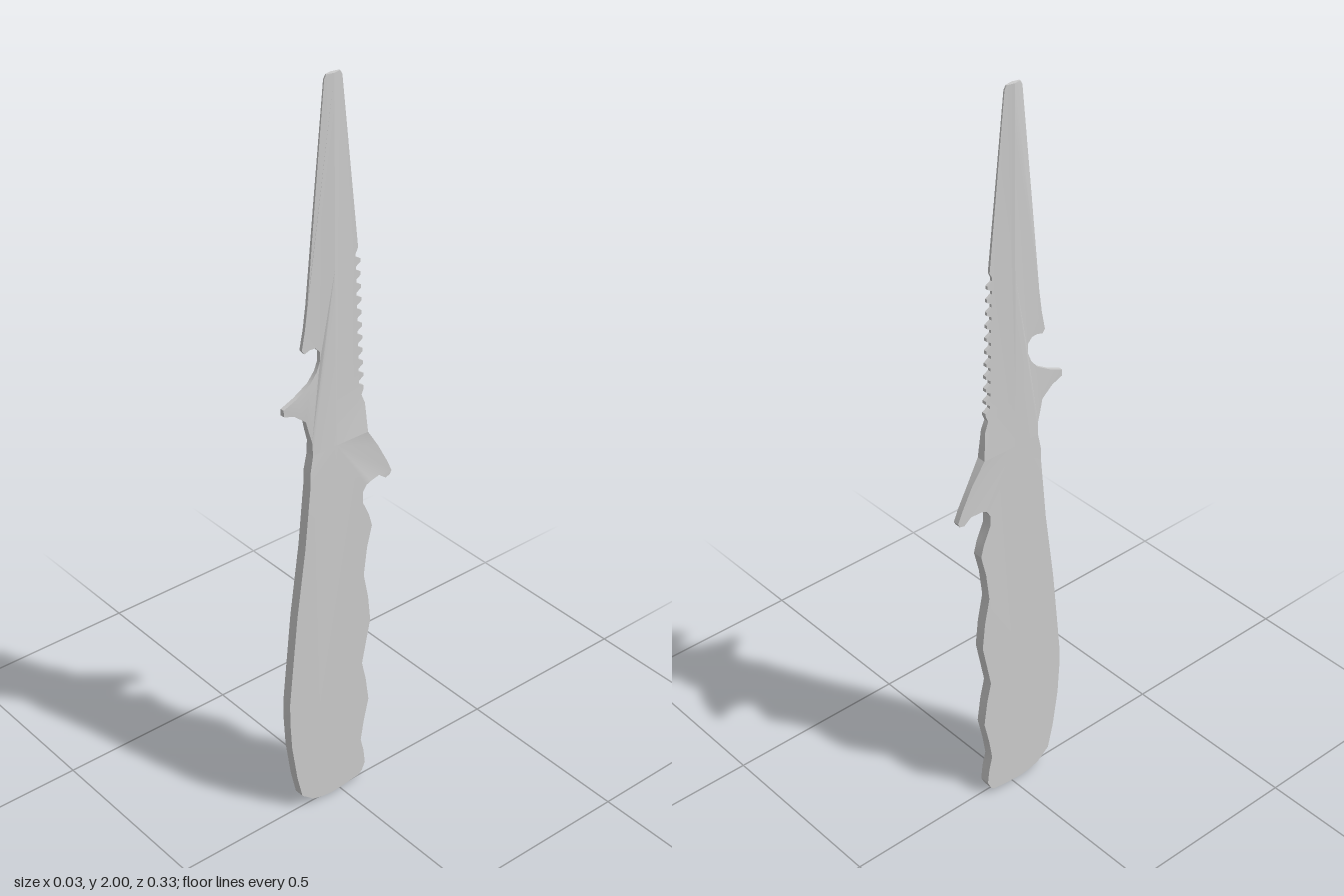
import * as THREE from 'three';
import { toCreasedNormals } from 'three/addons/utils/BufferGeometryUtils.js';

const MID = 0.012;    // z of the blade's ridge line
const JOINT = 1.065;  // height where handle meets blade

// Linear interpolation through [position, value] pairs
function ramp(t, stops) {
  for (let i = 1; i < stops.length; i++) {
    const [a, va] = stops[i - 1], [b, vb] = stops[i];
    if (t <= b) return THREE.MathUtils.mapLinear(Math.max(t, a), a, b, va, vb);
  }
  return stops[stops.length - 1][1];
}

// Middle of the thickness, and half the thickness, at a point of the outline
const isGuard = (z, y) => z < -0.11 && y > 0.85;
const centre = (z, y) => isGuard(z, y) ? -0.004 : ramp(y, [[0, -0.005], [0.8, -0.003], [1, 0], [1.15, -0.004], [2, -0.004]]);
function halfThickness(z, y) {
  if (isGuard(z, y)) return 0.008;
  const ridge = ramp(y, [[0, 0.0135], [1, 0.0135], [1.15, 0.01], [2, 0.006]]);
  const thin = ramp(y, [[JOINT, 1], [1.2, 0.6], [1.5, 0.4], [2, 0.3]]);
  return Math.abs(z - MID) < 1e-5 ? ridge : ridge * thin;
}

// Slab from a (z, y) outline, shaped in thickness, without walls at hidden seams
function slab(name, outline, material) {
  const shape = new THREE.Shape(outline.map(([z, y]) => new THREE.Vector2(z, y)));
  const raw = new THREE.ExtrudeGeometry(shape, { depth: 1, bevelEnabled: false });
  const p = raw.attributes.position;
  const kept = [];
  for (let i = 0; i < p.count; i += 3) {
    const ids = [i, i + 1, i + 2];
    const onRidge = ids.every(k => Math.abs(p.getX(k) - MID) < 1e-5);
    const onJoint = ids.every(k => Math.abs(p.getY(k) - JOINT) < 1e-5);
    if (onRidge || onJoint) continue;
    for (const k of ids) {
      const z = p.getX(k), y = p.getY(k);
      kept.push(centre(z, y) + (1 - 2 * p.getZ(k)) * halfThickness(z, y), y, z);
    }
  }
  const geometry = new THREE.BufferGeometry();
  geometry.setAttribute('position', new THREE.Float32BufferAttribute(kept, 3));
  const mesh = new THREE.Mesh(toCreasedNormals(geometry, 0.5), material);
  mesh.name = name;
  return mesh;
}

export function createModel() {
  const model = new THREE.Group();
  model.name = 'knife';
  const material = new THREE.MeshStandardMaterial({ color: 0xcccccc });

  // Handle: smooth palm side, rounded butt, finger grooves and hooked guard
  const palm = [
    [0.085, JOINT], [0.095, 1.02], [0.096, 0.98], [0.111, 0.81], [0.138, 0.615], [0.155, 0.45],
    [0.164, 0.36], [0.164, 0.3], [0.159, 0.217], [0.143, 0.11], [0.127, 0.042], [0.09, 0.012],
    [0.06, 0.004], [0.03, 0], [-0.02, 0.004], [-0.064, 0.01],
  ];
  const fingers = [
    [-0.075, 0.02], [-0.085, 0.042], [-0.08, 0.085], [-0.07, 0.125], [-0.08, 0.185], [-0.095, 0.25],
    [-0.085, 0.32], [-0.072, 0.376], [-0.085, 0.44], [-0.098, 0.503], [-0.09, 0.577], [-0.075, 0.65],
    [-0.085, 0.73], [-0.1, 0.79], [-0.09, 0.825], [-0.069, 0.87], [-0.069, 0.9], [-0.08, 0.917], [-0.095, 0.923],
  ];
  const guard = [
    [-0.127, 0.922], [-0.148, 0.906], [-0.162, 0.91], [-0.167, 0.92], [-0.154, 0.95], [-0.122, 1.01],
    [-0.085, JOINT],
  ];
  model.add(slab('handle', [...palm, ...fingers, ...guard, [MID, JOINT]], material));

  // Ridge points shared by both halves of the blade
  const ridge = [];
  for (let i = 0; i <= 8; i++) ridge.push([MID, THREE.MathUtils.lerp(JOINT, 2, i / 8)]);

  // Cutting edge with the line-cutter notch and its pointed spur
  const cutter = [
    [0.031, 2], [0.037, 1.99], [0.064, 1.725], [0.09, 1.46], [0.098, 1.4], [0.108, 1.35], [0.1, 1.34],
    [0.085, 1.345], [0.068, 1.344], [0.055, 1.33], [0.055, 1.305], [0.065, 1.28], [0.085, 1.255],
    [0.127, 1.23], [0.164, 1.215], [0.164, 1.198], [0.132, 1.186], [0.1, 1.16], [0.093, 1.13],
    [0.085, 1.1], [0.085, JOINT],
  ];
  model.add(slab('frontBladeHalf', [...ridge, ...cutter], material));

  // Saw-toothed spine, running up to a plain tapering tip
  const saw = [[-0.085, JOINT], [-0.08, 1.145], [-0.07, 1.17]];
  const teeth = 11, low = 1.18, high = 1.55;
  for (let i = 0; i < teeth; i++) {
    const y = low + (high - low) * i / teeth, step = (high - low) / teeth;
    const z = THREE.MathUtils.lerp(-0.077, -0.066, i / teeth);
    saw.push([z, y + step * 0.15], [z, y + step * 0.4], [z + 0.014, y + step * 0.65], [z + 0.014, y + step * 0.9]);
  }
  saw.push([-0.06, high + 0.01], [-0.037, 1.775], [-0.014, 1.99], [-0.008, 2]);
  model.add(slab('backBladeHalf', [...saw, ...ridge.slice().reverse()], material));

  return model;
}
